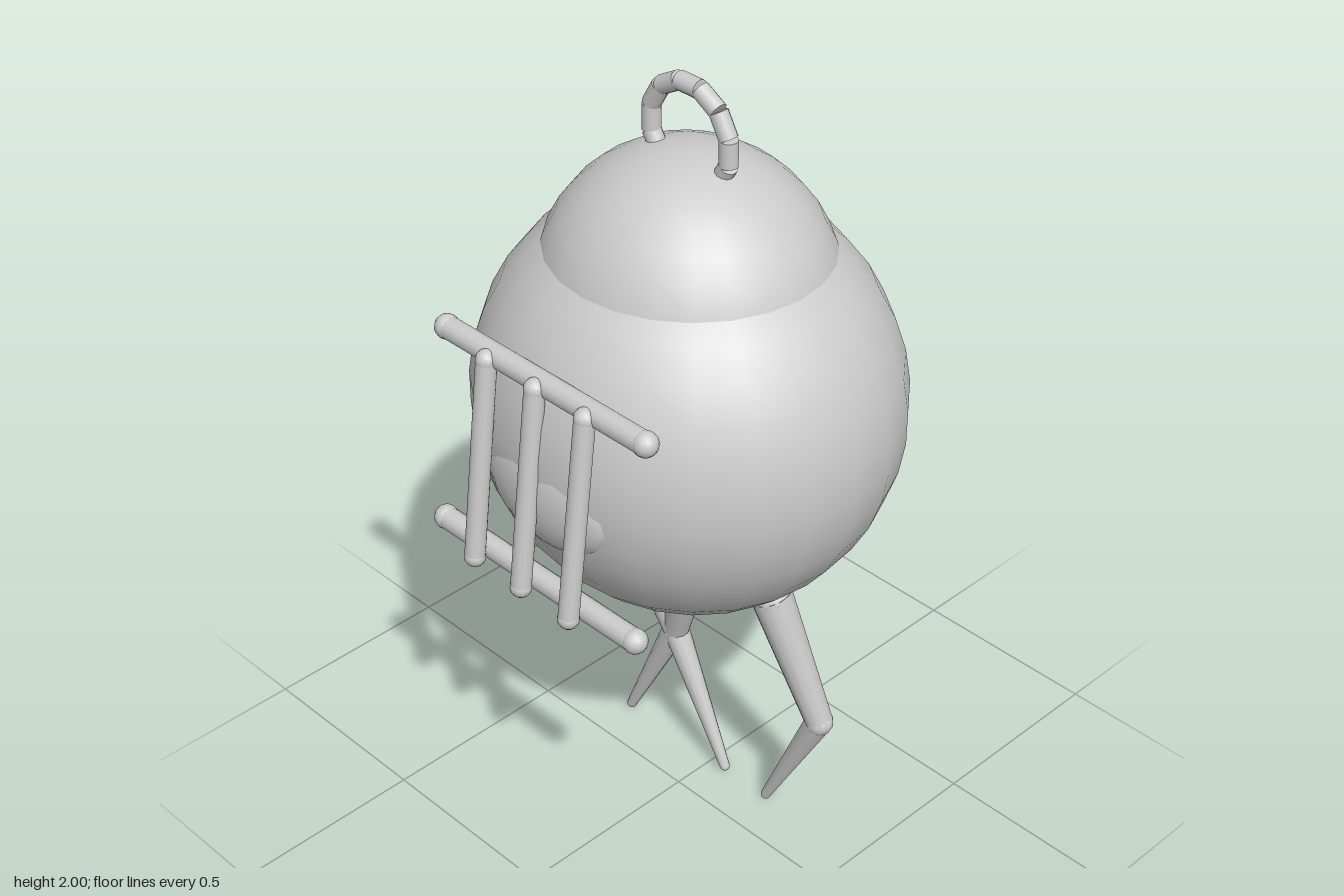
import * as THREE from 'three';

export function createModel() {
  const group = new THREE.Group();
  const grey = new THREE.MeshStandardMaterial({ color: 0xcccccc });
  grey.name = 'plain grey';
  const V = (x, y, z) => new THREE.Vector3(x, y, z);

  const add = (parent, name, geometry) => {
    const mesh = new THREE.Mesh(geometry, grey);
    mesh.name = name;
    parent.add(mesh);
    return mesh;
  };

  // Ellipsoid with given centre and radii
  const ball = (parent, name, c, rx, ry = rx, rz = rx, seg = 12) => {
    const mesh = add(parent, name, new THREE.SphereGeometry(1, seg, Math.max(8, Math.round(seg * 0.8))));
    mesh.position.copy(c);
    mesh.scale.set(rx, ry, rz);
    return mesh;
  };

  // Tapered rod from a to b
  const rod = (parent, name, a, b, ra, rb = ra) => {
    const mesh = add(parent, name, new THREE.CylinderGeometry(rb, ra, a.distanceTo(b), 12));
    mesh.position.copy(a).lerp(b, 0.5);
    mesh.quaternion.setFromUnitVectors(V(0, 1, 0), b.clone().sub(a).normalize());
    return mesh;
  };

  const part = (name) => {
    const g = new THREE.Group();
    g.name = name;
    group.add(g);
    return g;
  };

  // Round body, slightly flattened front to back, with a domed lid
  const zMid = -0.033;
  ball(group, 'body', V(0, 1.196, zMid), 0.524, 0.522, 0.49, 24);
  ball(group, 'lid', V(0, 1.46, zMid), 0.365, 0.365, 0.345, 24);
  // Shallow bulge behind the grille
  ball(group, 'frontBulge', V(0, 1.13, 0.395), 0.2, 0.14, 0.067, 16);

  // Ring handle made of short straight links
  const handle = part('handle');
  for (let i = -1; i <= 7; i++) {
    const a = (i * Math.PI) / 6;
    const c = V(0.118 * Math.cos(a), 1.86 + 0.118 * Math.sin(a), zMid);
    const t = V(-Math.sin(a), Math.cos(a), 0).multiplyScalar(0.031);
    rod(handle, 'handleLink', c.clone().sub(t), c.clone().add(t), 0.0222);
  }

  // Front grille: two cross bars and three slanted uprights
  const grille = part('grille');
  for (const [y, z] of [[1.423, 0.408], [0.915, 0.445]]) {
    rod(grille, 'crossBar', V(-0.318, y, z), V(0.318, y, z), 0.028);
    for (const s of [-1, 1]) ball(grille, 'crossBarEnd', V(s * 0.318, y, z), 0.03);
  }
  for (const x of [-0.158, 0, 0.158]) {
    const top = V(x, 1.42, 0.432), bottom = V(x, 0.915, 0.496);
    rod(grille, 'upright', bottom, top, 0.025);
    ball(grille, 'uprightEnd', top, 0.026);
    ball(grille, 'uprightEnd', bottom, 0.026);
  }

  // Three bent legs: x of hip, knee and foot
  for (const [hx, kx, fx] of [[0.248, 0.37, 0.197], [-0.25, -0.125, 0.05], [-0.005, -0.127, -0.297]]) {
    const leg = part('leg');
    const hip = V(hx, 0.72, -0.063), knee = V(kx, 0.368, -0.115), foot = V(fx, 0.013, -0.118);
    rod(leg, 'thigh', hip, knee, 0.052, 0.034);
    ball(leg, 'hip', hip, 0.052, 0.04, 0.052);
    ball(leg, 'knee', knee, 0.035);
    rod(leg, 'shin', knee, foot, 0.034, 0.013);
    ball(leg, 'foot', foot, 0.013);
  }
  return group;
}
